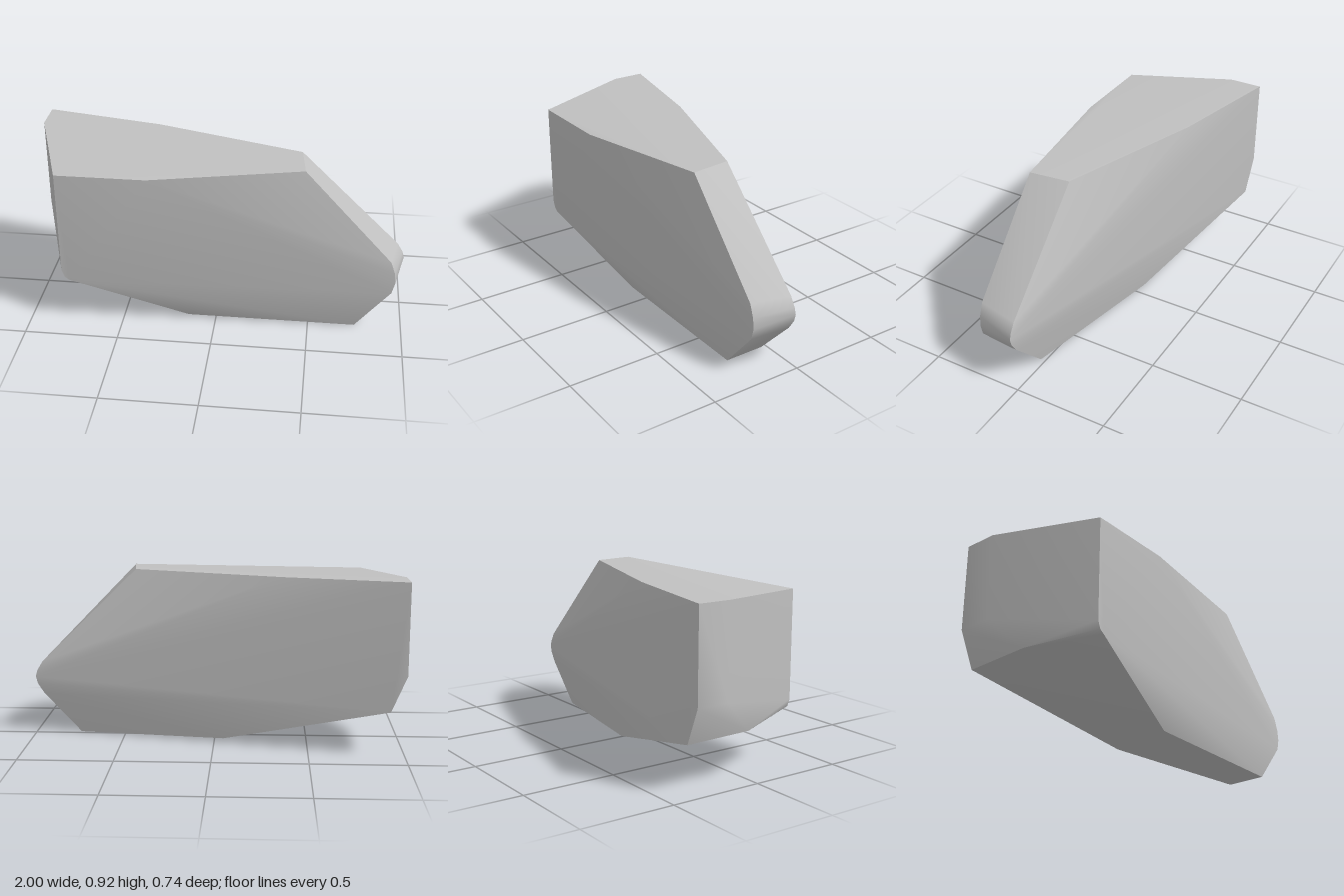
import * as THREE from 'three';
import { ConvexGeometry } from 'three/addons/geometries/ConvexGeometry.js';

// Outline around the front face: x, y, z
const frontRim = [
  [-0.81, 0.887, 0.37], [-0.34, 0.887, 0.37], [0.455, 0.918, 0.243],
  [0.92, 0.41, 0.243], [0.945, 0.34, 0.243], [0.95, 0.28, 0.243], [0.935, 0.22, 0.243],
  [0.75, 0, 0.243], [-0.15, 0, 0.243],
  [-0.77, 0.262, 0.37], [-0.795, 0.28, 0.37], [-0.81, 0.32, 0.37],
];

// Outline around the back face
const backRim = [
  [-1, 0.913, -0.37], [-0.36, 0.916, -0.232], [0.43, 0.918, 0.026],
  [0.96, 0.4, 0.026], [0.99, 0.35, 0.026], [1, 0.315, 0.026], [0.99, 0.275, 0.026],
  [0.955, 0.22, 0.026], [0.75, 0, 0.026], [-0.05, 0.022, -0.147],
  [-0.92, 0.238, -0.365], [-1, 0.43, -0.37],
];

// Corners of the broad end between the two faces
const endCorners = [[-1, 0.913, -0.19], [-1, 0.43, -0.19], [-0.925, 0.245, 0.0]];

// Smooth shallow edges, letting large facets dominate; keep steep edges sharp
function smoothShallowEdges(geometry, maxAngle) {
  const position = geometry.attributes.position;
  const corner = (i) => new THREE.Vector3().fromBufferAttribute(position, i);
  const facets = [];
  for (let i = 0; i < position.count; i += 3) {
    const points = [corner(i), corner(i + 1), corner(i + 2)];
    const [a, b, c] = points;
    const area = b.clone().sub(a).cross(c.clone().sub(a));
    facets.push({ points, area, normal: area.clone().normalize() });
  }
  const limit = Math.cos(maxAngle);
  facets.forEach((facet, f) => facet.points.forEach((point, k) => {
    const sum = new THREE.Vector3();
    for (const other of facets) {
      const touches = other.points.some((p) => p.distanceTo(point) < 1e-5);
      if (touches && other.normal.dot(facet.normal) > limit) sum.add(other.area);
    }
    sum.normalize();
    geometry.attributes.normal.setXYZ(f * 3 + k, sum.x, sum.y, sum.z);
  }));
  return geometry;
}

export function createModel() {
  const group = new THREE.Group();
  group.name = 'rock';
  const stone = new THREE.MeshStandardMaterial({ color: 0xc0c0c0 });
  stone.name = 'pale grey stone';

  // A single faceted boulder
  const points = [...frontRim, ...backRim, ...endCorners].map((p) => new THREE.Vector3(...p));
  const body = new THREE.Mesh(smoothShallowEdges(new ConvexGeometry(points), 0.58), stone);
  body.name = 'boulder';
  group.add(body);
  return group;
}
